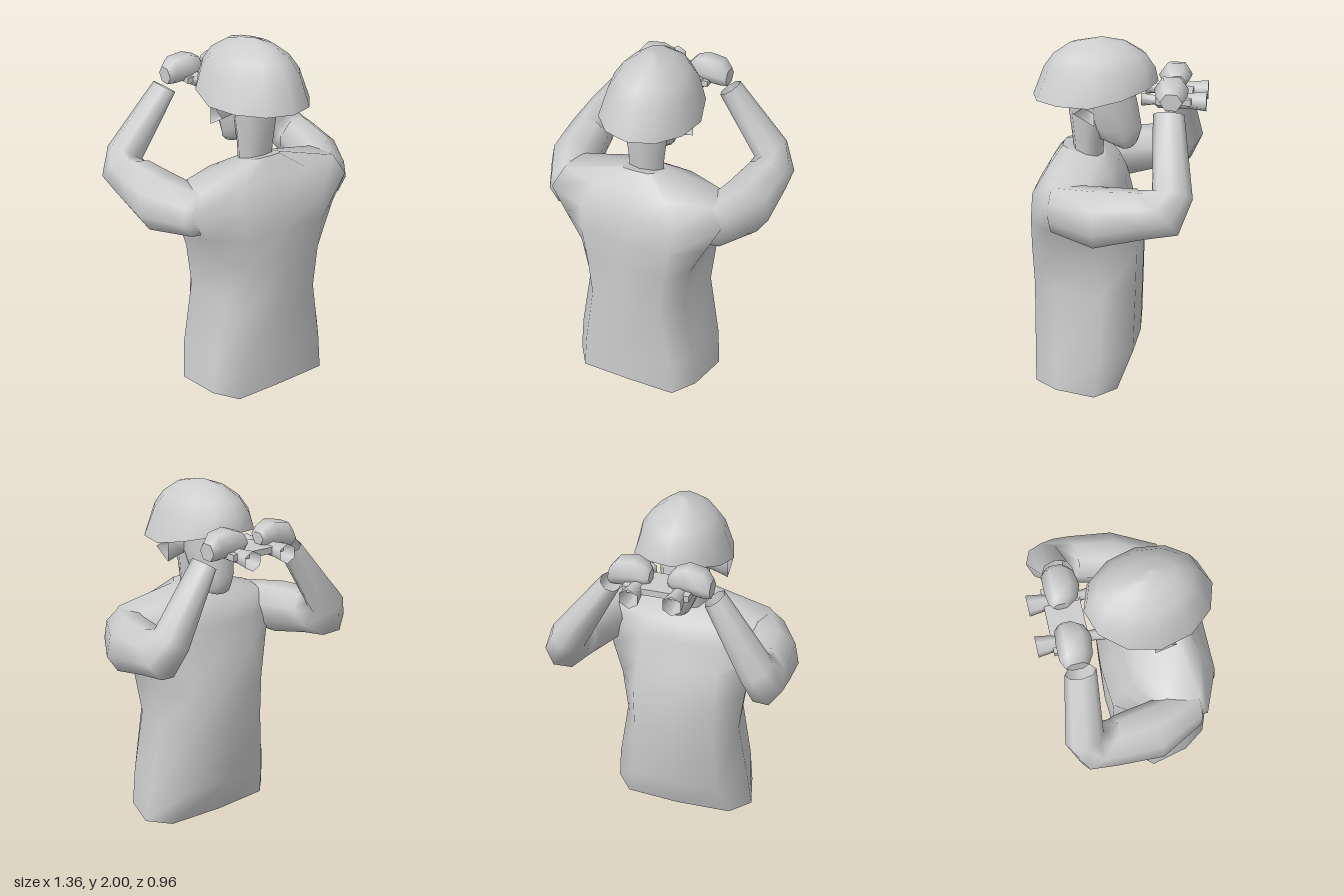
import * as THREE from 'three';

const V = (x, y, z) => new THREE.Vector3(x, y, z);
const grey = new THREE.MeshStandardMaterial({ color: 0xcccccc, side: THREE.DoubleSide });
grey.name = 'plain grey';

// Elliptical ring of n points around c, turning from u towards v
function oval(c, u, v, n = 8) {
  return Array.from({ length: n }, (_, i) => {
    const a = (i / n) * Math.PI * 2;
    return c.clone().addScaledVector(u, Math.cos(a)).addScaledVector(v, Math.sin(a));
  });
}

// Smooth skin over closed rings, with optional flat ends
function loft(name, rings, { start = false, end = false, mirror = false } = {}) {
  if (mirror) rings = rings.map(r => r.map(p => V(-p.x, p.y, p.z)).reverse());
  const n = rings[0].length, pos = [], idx = [];
  rings.forEach(r => r.forEach(p => pos.push(p.x, p.y, p.z)));
  for (let k = 0; k < rings.length - 1; k++)
    for (let i = 0; i < n; i++) {
      const a = k * n + i, b = k * n + (i + 1) % n;
      idx.push(a, b, b + n, a, b + n, a + n);
    }
  const cap = (r, flip) => {
    const base = pos.length / 3;
    r.forEach(p => pos.push(p.x, p.y, p.z));
    for (let i = 1; i < n - 1; i++)
      idx.push(base, base + (flip ? i + 1 : i), base + (flip ? i : i + 1));
  };
  if (start) cap(rings[0], true);
  if (end) cap(rings[rings.length - 1], false);
  const g = new THREE.BufferGeometry();
  g.setAttribute('position', new THREE.Float32BufferAttribute(pos, 3));
  g.setIndex(idx);
  g.computeVertexNormals();
  const m = new THREE.Mesh(g, grey);
  m.name = name;
  return m;
}

// Angular trunk ring: +z edge, two flank corners, -z edge, then the slope of the ring
function trunkRing([y, xb, zb, x1, z1, x2, z2, xf, zf, drop = 0]) {
  const half = [[xb, zb - 0.005], [x1, z1], [x2, z2], [xf, zf + 0.018]];
  const pts = [[0, zb], ...half, [0, zf], ...half.map(([x, z]) => [-x, z]).reverse()];
  return pts.map(([x, z]) => V(x, y - drop * (zb - z) / (zb - zf), z));
}

function torso() {
  const g = new THREE.Group();
  g.name = 'torso';
  const rings = [
    [0, 0.29, 0.47, 0.385, 0.33, 0.44, 0.1, 0.33, -0.04],
    [0.22, 0.27, 0.47, 0.365, 0.33, 0.415, 0.07, 0.27, -0.125],
    [0.6, 0.21, 0.475, 0.3, 0.33, 0.35, 0.06, 0.245, -0.135],
    [0.85, 0.23, 0.48, 0.34, 0.34, 0.378, 0.06, 0.245, -0.14],
    [1.02, 0.26, 0.475, 0.425, 0.35, 0.43, 0.07, 0.24, -0.07],
    [1.18, 0.27, 0.46, 0.505, 0.355, 0.5, 0.12, 0.24, -0.03],
    [1.3, 0.21, 0.39, 0.44, 0.32, 0.45, 0.14, 0.2, 0.01, 0.02],
    [1.4, 0.07, 0.32, 0.1, 0.27, 0.11, 0.16, 0.07, 0.08, 0.07],
  ].map(trunkRing);
  g.add(loft('trunk', rings, { end: true }));
  // Underside with a four-sided opening
  const s = new THREE.Shape(rings[0].map(p => new THREE.Vector2(p.x, p.z)));
  s.holes.push(new THREE.Path([[0.23, 0.035], [-0.23, 0.035], [-0.17, 0.385], [0.17, 0.385]]
    .map(([x, z]) => new THREE.Vector2(x, z))));
  const base = new THREE.Mesh(new THREE.ShapeGeometry(s).rotateX(Math.PI / 2), grey);
  base.name = 'underside';
  g.add(base);
  return g;
}

function head() {
  const g = new THREE.Group();
  g.name = 'head';
  const slab = (rows, n) => rows.map(([y, zb, zf, w]) =>
    oval(V(0, y, (zb + zf) / 2), V(0, 0, (zb - zf) / 2), V(w, 0, 0), n));
  g.add(loft('neck', slab([[1.3, 0.26, 0.1, 0.1], [1.43, 0.27, 0.09, 0.105], [1.6, 0.29, 0.06, 0.125],
    [1.75, 0.29, 0.05, 0.13]], 8)));
  g.add(loft('face', slab([[1.385, 0.01, -0.07, 0.05], [1.405, 0.05, -0.09, 0.07], [1.44, 0.13, -0.105, 0.085],
    [1.5, 0.2, -0.12, 0.105], [1.62, 0.26, -0.1, 0.125], [1.8, 0.27, -0.06, 0.13]], 10), { start: true }));
  // Helmet with a brim that rises towards the face
  const dome = [[1.68, 0.28, 0.135, 0.345], [1.84, 0.232, 0.112, 0.305], [1.915, 0.178, 0.11, 0.25],
    [1.975, 0.095, 0.115, 0.155], [2, 0.015, 0.12, 0.03]]
    .map(([y, rx, cz, rz]) => oval(V(0.014, y, cz), V(0.02, 0, rz), V(rx, 0, 0), 12));
  dome[0].forEach(p => { p.y += Math.max(0, 0.1 - p.z) * 0.27; });
  g.add(loft('helmet', dome, { end: true }));
  // Flared three-sided ears
  for (const s of [-1, 1]) {
    const ear = new THREE.Mesh(new THREE.CylinderGeometry(0.075, 0.04, 0.12, 3, 1, true), grey);
    ear.name = s > 0 ? 'leftEar' : 'rightEar';
    ear.rotation.z = -s * Math.PI / 2;
    ear.position.set(s * 0.18, 1.635, 0.15);
    g.add(ear);
  }
  return g;
}

function arm(mirror) {
  const g = new THREE.Group();
  g.name = mirror ? 'rightArm' : 'leftArm';
  // Each row: centre, half width, half depth, bend from upper arm (0) to forearm (1)
  const b = V(0.85, 0.53, 0), rows = [
    [[0.36, 1.165, 0.35], 0.06, 0.07, 0],
    [[0.425, 1.165, 0.315], 0.12, 0.13, 0],
    [[0.525, 1.165, 0.07], 0.148, 0.165, 0],
    [[0.55, 1.205, -0.17], 0.135, 0.135, 0.1],
    [[0.555, 1.22, -0.26], 0.128, 0.16, 0.5],
    [[0.527, 1.31, -0.335], 0.102, 0.107, 0.9],
    [[0.285, 1.665, -0.29], 0.058, 0.083, 1],
  ];
  const rings = rows.map(([c, ru, rv, bend]) => {
    const t = bend * Math.PI / 2, k = Math.cos(t);
    return oval(V(...c), b.clone().multiplyScalar(ru), V(0.53 * k, -0.85 * k, -Math.sin(t)).multiplyScalar(rv));
  });
  g.add(loft('sleeve', rings, { mirror }));
  // Closed hand
  const hand = [[0.275, 1.725, -0.3, 0.06, 0.05], [0.235, 1.75, -0.298, 0.085, 0.075],
    [0.14, 1.763, -0.292, 0.092, 0.076], [0.075, 1.755, -0.3, 0.075, 0.06], [0.05, 1.75, -0.31, 0.045, 0.035]]
    .map(([x, y, z, rz, ry]) => oval(V(x, y, z), V(0, 0, rz), V(0, ry, 0), 6));
  g.add(loft('hand', hand, { start: true, end: true, mirror }));
  return g;
}

function binoculars() {
  const g = new THREE.Group();
  g.name = 'binoculars';
  for (const s of [-1, 1]) {
    const tube = [[-0.13, 0.036], [-0.2, 0.026], [-0.22, 0.045], [-0.38, 0.042], [-0.48, 0.055]]
      .map(([z, r]) => oval(V(s * 0.115, 1.693, z), V(0, r, 0), V(r, 0, 0), 6));
    g.add(loft('barrel', tube));
  }
  const bridge = new THREE.Mesh(new THREE.BoxGeometry(0.36, 0.035, 0.19), grey);
  bridge.name = 'bridge';
  bridge.position.set(0, 1.7, -0.305);
  g.add(bridge);
  return g;
}

export function createModel() {
  const model = new THREE.Group();
  model.name = 'lookout';
  model.add(torso(), head(), arm(false), arm(true), binoculars());
  return model;
}
